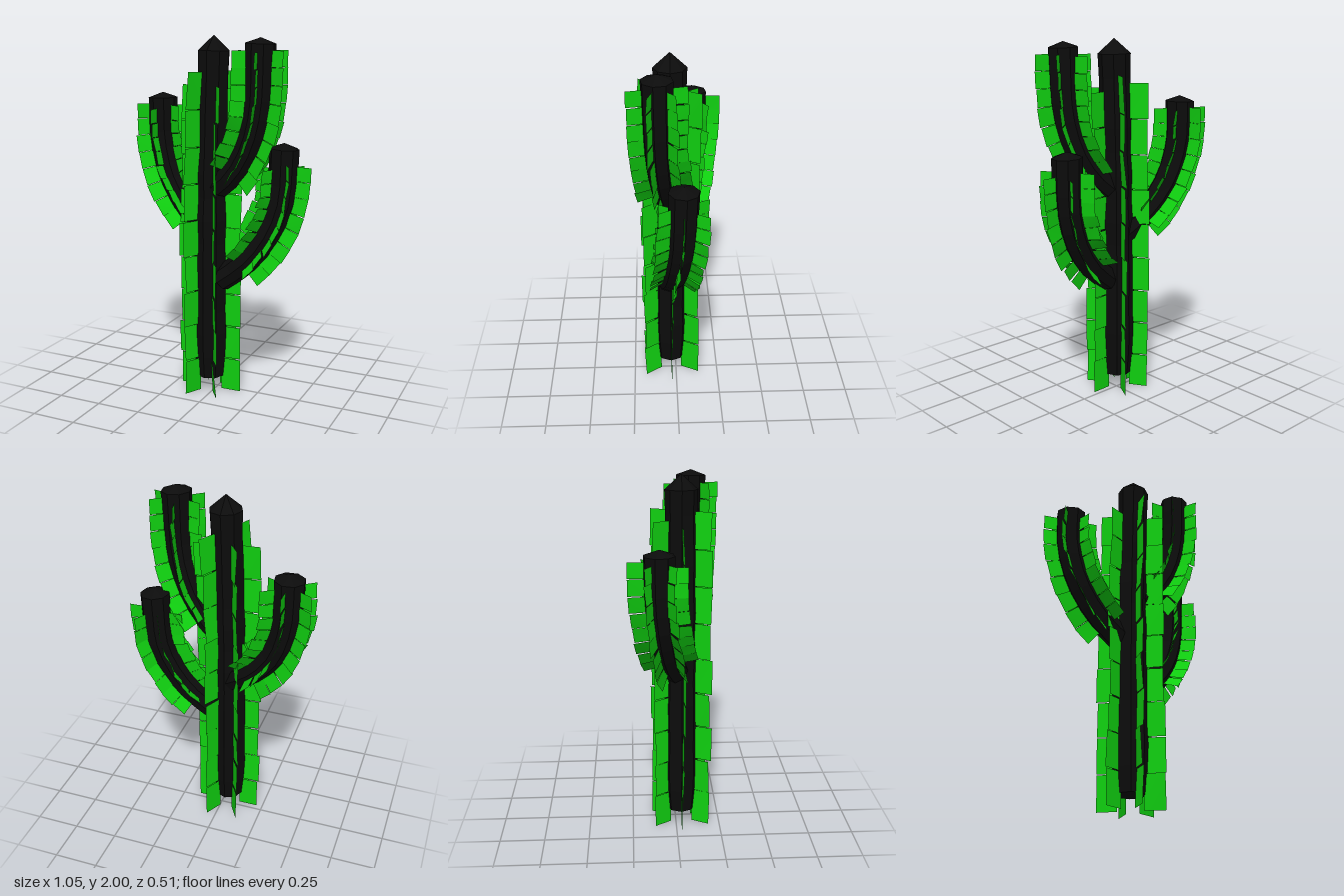
import * as THREE from 'three';

const SIDES = 8;
const FINS = 6;

// Small seeded generator for the hand-made unevenness of the fins
let seed = 7;
function jitter(amount) {
  seed = (seed * 16807) % 2147483647;
  return (seed / 2147483647 - 0.5) * 2 * amount;
}

// Returns a function (t, radius, angle) -> point around a curved stem
function stemFrame(points, outwardAngle) {
  const curve = new THREE.CatmullRomCurve3(points.map((p) => new THREE.Vector3(...p)));
  const outward = new THREE.Vector3(Math.cos(outwardAngle), 0, Math.sin(outwardAngle));
  const side = new THREE.Vector3(0, 1, 0).cross(outward);
  return (t, radius, angle) => {
    const tangent = curve.getTangentAt(t);
    const out = side.clone().cross(tangent).normalize();
    return curve.getPointAt(t)
      .addScaledVector(out, Math.cos(angle) * radius)
      .addScaledVector(side, Math.sin(angle) * radius);
  };
}

function makeMesh(name, positions, index, material) {
  const geometry = new THREE.BufferGeometry();
  geometry.setAttribute('position', new THREE.Float32BufferAttribute(positions, 3));
  geometry.setIndex(index);
  geometry.computeVertexNormals();
  const mesh = new THREE.Mesh(geometry, material);
  mesh.name = name;
  return mesh;
}

// Closed faceted core with a shallow pointed cap
function makeCore(at, { start, rings, radius, tip }, material) {
  const positions = [];
  const index = [];
  for (let i = 0; i <= rings; i++) {
    const t = start + (1 - start) * (i / rings);
    for (let j = 0; j < SIDES; j++) {
      positions.push(...at(t, radius(t), (j / SIDES) * Math.PI * 2).toArray());
    }
  }
  const bottom = positions.length / 3;
  const top = at(1, 0, 0);
  positions.push(...at(start, 0, 0).toArray(), top.x, top.y + tip, top.z);
  for (let j = 0; j < SIDES; j++) {
    const k = (j + 1) % SIDES;
    for (let i = 0; i < rings; i++) {
      const a = i * SIDES;
      const b = a + SIDES;
      index.push(a + j, a + k, b + k, a + j, b + k, b + j);
    }
    const last = rings * SIDES;
    index.push(bottom, k, j, bottom + 1, last + j, last + k);
  }
  return makeMesh('core', positions, index, material);
}

// Thin radial fins, each a stack of slightly misaligned panels
function makeFins(at, { from, to, panels, inner, outer, turn }, material) {
  const positions = [];
  const index = [];
  for (let f = 0; f < FINS; f++) {
    const angle = turn + (f / FINS) * Math.PI * 2;
    const end = to + jitter(0.025);
    for (let p = 0; p < panels; p++) {
      const t0 = from + (end - from) * (p / panels);
      const t1 = from + (end - from) * ((p + 0.98) / panels);
      const reach = outer + jitter(0.007);
      const a0 = angle + jitter(0.06);
      const a1 = angle + jitter(0.06);
      const v = positions.length / 3;
      positions.push(
        ...at(t0, inner, a0).toArray(), ...at(t0, reach, a0).toArray(),
        ...at(t1, reach, a1).toArray(), ...at(t1, inner, a1).toArray());
      index.push(v, v + 1, v + 2, v, v + 2, v + 3);
    }
  }
  return makeMesh('fins', positions, index, material);
}

export function createModel() {
  seed = 7;
  const dark = new THREE.MeshStandardMaterial({ color: 0x0c0c0c, flatShading: true });
  const green = new THREE.MeshStandardMaterial({ color: 0x10d010, side: THREE.DoubleSide });
  const model = new THREE.Group();
  model.name = 'cactus';

  function addStem(name, points, outwardAngle, core, fins) {
    const at = stemFrame(points, outwardAngle);
    const stem = new THREE.Group();
    stem.name = name;
    stem.add(makeCore(at, core, dark), makeFins(at, fins, green));
    model.add(stem);
  }

  // Trunk: fins reach the ground, the core stops just above it
  addStem('trunk',
    [[-0.035, 0, 0.03], [-0.035, 0.6, 0.03], [-0.03, 1.2, 0.03], [-0.01, 1.92, 0.03]], 0,
    {
      start: 0.042, rings: 14, tip: 0.08,
      radius: (t) => (t < 0.05 ? 0.08 : 0.098 - 0.012 * t + 0.004 * Math.sin(t * 40)),
    },
    { from: 0, to: 0.925, panels: 9, inner: 0.07, outer: 0.18, turn: 0.05 });

  // Arms: sweep out of the trunk and bend upright
  const arms = [
    {
      name: 'rightArm', outward: Math.PI + 0.26, turn: -0.23, from: 0.17, to: 0.95,
      points: [[-0.05, 0.92, 0.01], [-0.2, 1.04, -0.04], [-0.32, 1.2, -0.075],
        [-0.385, 1.42, -0.1], [-0.39, 1.65, -0.1]],
    },
    {
      name: 'lowerLeftArm', outward: -0.16, turn: -0.17, from: 0.18, to: 0.9,
      points: [[0.03, 0.66, 0.04], [0.18, 0.78, 0.02], [0.29, 0.93, 0],
        [0.36, 1.12, -0.02], [0.375, 1.41, -0.03]],
    },
    {
      name: 'upperLeftArm', outward: 0.23, turn: -0.12, from: 0.14, to: 0.95,
      points: [[0.02, 1.19, 0.04], [0.12, 1.28, 0.06], [0.21, 1.42, 0.08],
        [0.27, 1.62, 0.095], [0.285, 1.96, 0.1]],
    },
  ];
  for (const { name, outward, turn, from, to, points } of arms) {
    addStem(name, points, outward,
      { start: 0, rings: 9, tip: 0.03, radius: (t) => 0.07 + 0.012 * t },
      { from, to, panels: 8, inner: 0.05, outer: 0.153, turn });
  }
  return model;
}
